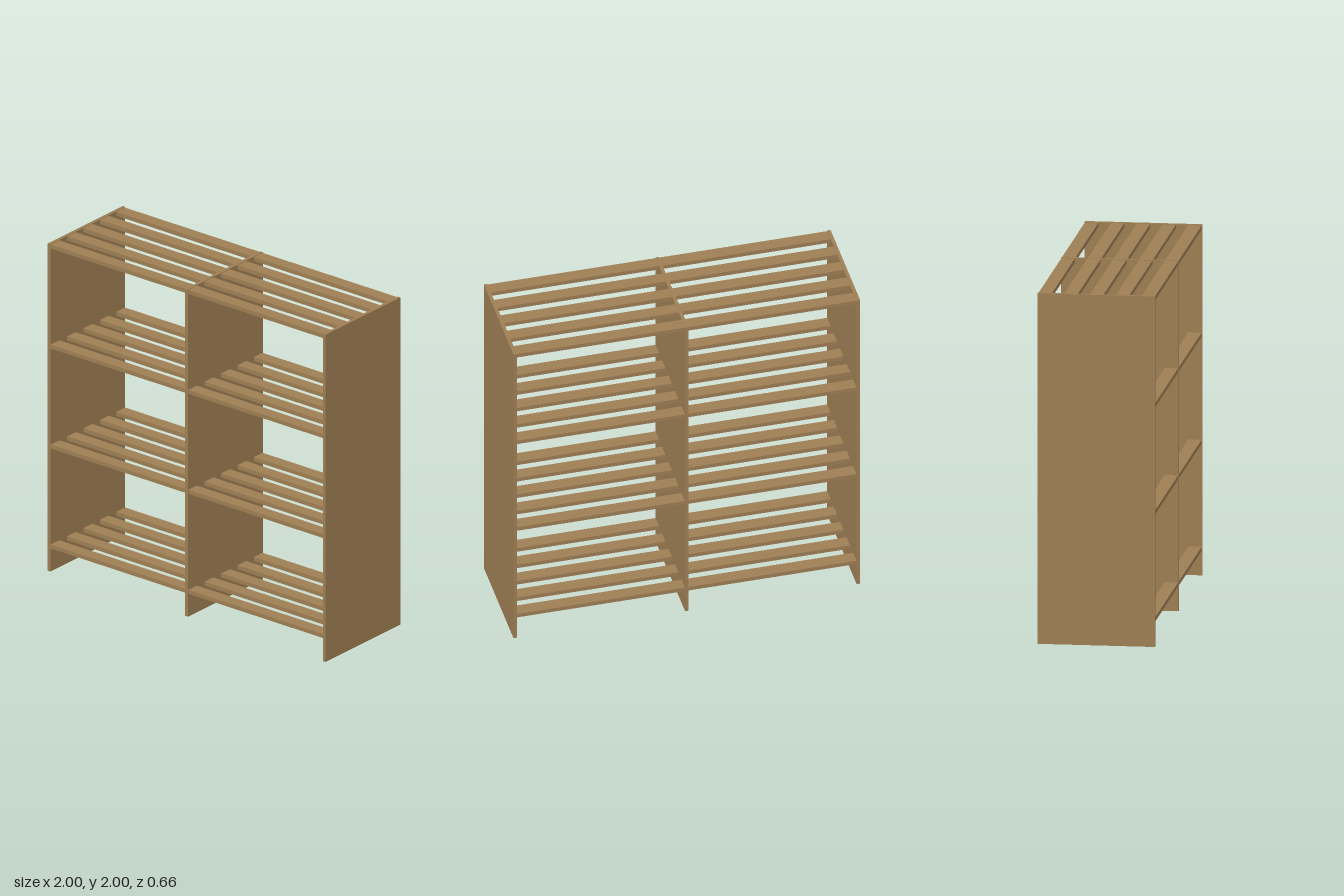
import * as THREE from 'three';

export function createModel() {
  const group = new THREE.Group();
  const wood = new THREE.MeshStandardMaterial({ color: 0x9e7e54 });
  const panelWidth = 0.02, slatWidth = 0.076, slatThickness = 0.024;

  function addBoard(parent, name, size, position) {
    const mesh = new THREE.Mesh(new THREE.BoxGeometry(...size), wood);
    mesh.name = name;
    mesh.position.set(...position);
    parent.add(mesh);
  }

  // Upright panels: two sides and a central divider
  const panels = { rightPanel: -0.99, centrePanel: 0, leftPanel: 0.99 };
  for (const [name, x] of Object.entries(panels)) {
    addBoard(group, name, [panelWidth, 2, 0.664], [x, 1, 0]);
  }

  // Slatted shelves: four levels in each of the two bays, five slats per shelf
  const bayWidth = 0.99 - panelWidth;
  for (const side of [-1, 1]) {
    for (let level = 0; level < 4; level++) {
      const shelf = new THREE.Group();
      shelf.name = `${side < 0 ? 'right' : 'left'}Shelf${level + 1}`;
      shelf.position.set(side * 0.495, 0.152 + level * 0.611, 0);
      for (let i = 0; i < 5; i++) {
        addBoard(shelf, `slat${i + 1}`, [bayWidth, slatThickness, slatWidth], [0, 0, (i - 2) * 0.1455]);
      }
      group.add(shelf);
    }
  }
  return group;
}
